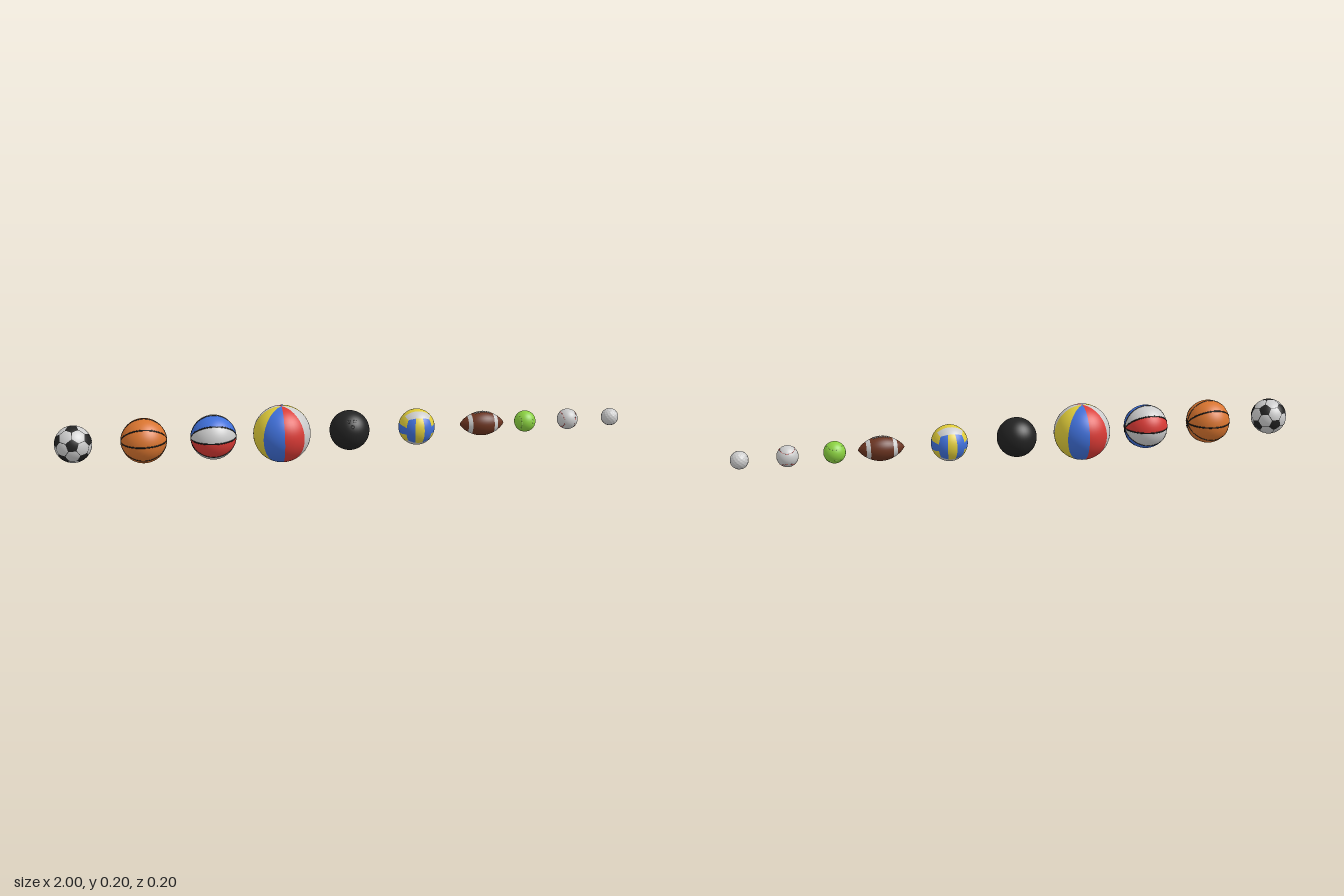
import * as THREE from 'three';
import { mergeGeometries, mergeVertices } from 'three/addons/utils/BufferGeometryUtils.js';

const WHITE = 0xcccccc, RED = 0xd93a35, BLUE = 0x3f6fd8, YELLOW = 0xe0cc3a;
const ORANGE = 0xd8742f, BROWN = 0x6b3420, BLACK = 0x222222, GREEN = 0x8ad040;
const V = (x, y, z) => new THREE.Vector3(x, y, z);

function mesh(name, geometry, color) {
  const m = new THREE.Mesh(geometry, new THREE.MeshStandardMaterial({ color }));
  m.name = name;
  return m;
}

function group(name, ...parts) {
  const g = new THREE.Group();
  g.name = name;
  if (parts.length) g.add(...parts);
  return g;
}

const sphere = (r) => new THREE.SphereGeometry(r, 40, 28);

// Curved panel: f(u, v) gives a direction, which is pushed onto the sphere
function patch(r, nu, nv, f) {
  const g = new THREE.PlaneGeometry(1, 1, nu, nv);
  const p = g.attributes.position, n = g.attributes.normal;
  for (let i = 0; i < p.count; i++) {
    const d = f(p.getX(i) + 0.5, p.getY(i) + 0.5).normalize();
    n.setXYZ(i, d.x, d.y, d.z);
    p.setXYZ(i, d.x * r, d.y * r, d.z * r);
  }
  return g;
}

// Polygon panel on a sphere, drawn in slightly to leave a seam
function polygonPanel(r, corners) {
  const c = corners.reduce((s, q) => s.add(q), V(0, 0, 0)).divideScalar(corners.length);
  const n = c.clone().normalize();
  const e1 = corners[0].clone().sub(c).normalize(), e2 = n.clone().cross(e1);
  const angle = (q) => Math.atan2(q.clone().sub(c).dot(e2), q.clone().sub(c).dot(e1));
  const ring = corners.slice().sort((a, b) => angle(a) - angle(b)).map((q) => q.clone().lerp(c, 0.05));
  return mergeGeometries(ring.map((a, i) => {
    const b = ring[(i + 1) % ring.length];
    return patch(r, 4, 4, (u, v) => a.clone().lerp(b, u).lerp(c, v));
  }));
}

// Pentagons sit at the icosahedron corners, hexagons on its faces
function soccerBall(r) {
  const ico = new THREE.IcosahedronGeometry(1, 0);
  ico.rotateX(-Math.PI / 4);
  const p = ico.attributes.position;
  const all = Array.from({ length: p.count }, (_, i) => V().fromBufferAttribute(p, i));
  const corners = all.filter((a, i) => all.findIndex((b) => b.distanceTo(a) < 0.01) === i);
  const third = (a, b) => a.clone().lerp(b, 1 / 3);
  const pentagons = corners.map((a) => polygonPanel(r,
    corners.filter((b) => b !== a && b.distanceTo(a) < 1.2).map((b) => third(a, b))));
  const hexagons = [];
  for (let i = 0; i < all.length; i += 3) {
    const [a, b, c] = all.slice(i, i + 3);
    hexagons.push(polygonPanel(r, [third(a, b), third(b, a), third(b, c), third(c, b), third(c, a), third(a, c)]));
  }
  return group('soccerBall', mesh('soccerSeams', sphere(r * 0.985), BLACK),
    mesh('pentagons', mergeGeometries(pentagons), BLACK), mesh('hexagons', mergeGeometries(hexagons), WHITE));
}

// Eight wedges between the poles, starting at the front
function wedges(r, colors) {
  return Array.from({ length: 8 }, (_, k) => mesh('wedge' + k,
    new THREE.SphereGeometry(r, 6, 32, Math.PI / 2 + k * Math.PI / 4, Math.PI / 4), colors[k % colors.length]));
}

// Basketball with seams meeting at the left and right ends
function basketball(name, r, colors) {
  const panels = group('panels', ...wedges(r, colors));
  panels.rotation.z = -Math.PI / 2;
  const seams = Array.from({ length: 4 }, (_, k) =>
    new THREE.TorusGeometry(r - 0.0015, 0.0028, 6, 64).rotateX(k * Math.PI / 4));
  return group(name, panels, mesh('seams', mergeGeometries(seams), BLACK));
}

// Three finger holes on the upper front
function bowlingBall(r) {
  const g = group('bowlingBall', mesh('bowlingShell', sphere(r), BLACK));
  for (const [x, y] of [[-0.13, 0.68], [0.16, 0.68], [0.02, 0.45]]) {
    const d = V(x, y, Math.sqrt(1 - x * x - y * y)).multiplyScalar(r * 1.006);
    const hole = group('fingerHole',
      mesh('holeFloor', new THREE.CircleGeometry(0.0055, 16), 0x0c0c0c),
      mesh('holeRim', new THREE.TorusGeometry(0.0055, 0.0007, 6, 20), 0x444444));
    hole.position.copy(d);
    hole.lookAt(d.clone().multiplyScalar(2));
    g.add(hole);
  }
  return g;
}

// Six faces of three strips, turned from face to face
function volleyball(r) {
  const g = group('volleyball');
  const faces = [
    [V(0, 0, 1), V(0, 1, 0), [BLUE, YELLOW, BLUE]],
    [V(0, 1, 0), V(1, 0, 0), [WHITE, YELLOW, WHITE]],
    [V(1, 0, 0), V(0, 0, 1), [YELLOW, BLUE, YELLOW]],
  ];
  const bend = (t) => Math.tan((t - 0.5) * Math.PI / 2);
  for (const [axis, along, colors] of faces) for (const side of [1, -1]) {
    const n = axis.clone().multiplyScalar(side), across = along.clone().cross(n);
    colors.forEach((color, i) => g.add(mesh('strip', patch(r, 4, 12, (u, v) =>
      n.clone().addScaledVector(across, bend((i + u) / 3)).addScaledVector(along, bend(v))), color)));
  }
  return g;
}

// Pointed ball turned about x, with two stripes and laces on top
function football(L, R) {
  const radius = (x) => R * Math.pow(Math.max(0, 1 - (x / L) ** 2), 0.8);
  const g = group('football');
  const cuts = [-L, -0.053, -0.039, 0.039, 0.053, L];
  for (let k = 0; k < 5; k++) {
    const profile = Array.from({ length: 13 }, (_, i) => {
      const x = cuts[k] + (cuts[k + 1] - cuts[k]) * i / 12;
      return new THREE.Vector2(radius(x), x);
    });
    g.add(mesh(k % 2 ? 'stripe' : 'leather', new THREE.LatheGeometry(profile, 36).rotateZ(-Math.PI / 2), k % 2 ? WHITE : BROWN));
  }
  const spine = new THREE.CatmullRomCurve3([-0.03, -0.015, 0, 0.015, 0.03].map((x) => V(x, radius(x), 0)));
  const laces = [new THREE.TubeGeometry(spine, 16, 0.0014, 6)];
  for (let i = 0; i < 8; i++) {
    const x = -0.0262 + i * 0.0075;
    laces.push(new THREE.BoxGeometry(0.0028, 0.002, 0.016).translate(x, radius(x) - 0.0001, 0));
  }
  return group('football', ...g.children.slice(), mesh('laces', mergeGeometries(laces), WHITE));
}

// Closed seam wandering over a sphere: two arcs side by side at the front
class SeamCurve extends THREE.Curve {
  constructor(r) { super(); this.r = r; }
  getPoint(s, target = V()) {
    const t = s * Math.PI * 2, a = 0.75, b = 0.25;
    return target.set(a * Math.cos(t) + b * Math.cos(3 * t), a * Math.sin(t) - b * Math.sin(3 * t),
      2 * Math.sqrt(a * b) * Math.sin(2 * t)).applyAxisAngle(V(0, 0, 1), -Math.PI / 4).multiplyScalar(this.r);
  }
}
const seam = (r, tube) => new THREE.TubeGeometry(new SeamCurve(r), 120, tube, 5, true);

function tennisBall(r) {
  return group('tennisBall', mesh('felt', sphere(r), GREEN), mesh('tennisSeam', seam(r - 0.0006, 0.001), 0xa5dc70));
}

function baseball(r) {
  const curve = new SeamCurve(r), stitches = [];
  for (let i = 0; i < 60; i++) {
    const p = curve.getPointAt(i / 60), n = p.clone().normalize(), t = curve.getTangentAt(i / 60);
    const frame = new THREE.Matrix4().makeBasis(n.clone().cross(t), t, n).setPosition(p);
    stitches.push(new THREE.BoxGeometry(0.0045, 0.0008, 0.0008).applyMatrix4(frame));
  }
  return group('baseball', mesh('baseballCover', sphere(r), WHITE),
    mesh('baseballSeam', seam(r - 0.0003, 0.0007), RED), mesh('stitches', mergeGeometries(stitches), RED));
}

// Shallow dimples spread evenly in a spiral
function golfBall(r) {
  let g = new THREE.IcosahedronGeometry(r, 20);
  g.deleteAttribute('uv');
  g.deleteAttribute('normal');
  g = mergeVertices(g, 1e-5);
  const count = 130, dimples = Array.from({ length: count }, (_, i) => {
    const y = 1 - (2 * i + 1) / count, s = Math.sqrt(1 - y * y), a = i * 2.39996;
    return V(s * Math.cos(a), y, s * Math.sin(a));
  });
  const p = g.attributes.position;
  for (let i = 0; i < p.count; i++) {
    const d = V().fromBufferAttribute(p, i).normalize();
    const near = Math.min(...dimples.map((q) => q.distanceTo(d))) / 0.145;
    d.multiplyScalar(r * (1 - 0.025 * Math.max(0, 1 - near * near)));
    p.setXYZ(i, d.x, d.y, d.z);
  }
  g.computeVertexNormals();
  return group('golfBall', mesh('dimpledShell', g, WHITE));
}

export function createModel() {
  const model = group('sportsBalls');
  const row = [
    [-0.936, soccerBall(0.064)],
    [-0.698, basketball('basketball', 0.078, [ORANGE])],
    [-0.46, basketball('tricolorBasketball', 0.078, [RED, WHITE, BLUE, WHITE])],
    [-0.222, group('beachBall', ...wedges(0.1, [RED, WHITE, YELLOW, BLUE]))],
    [0.016, bowlingBall(0.07)],
    [0.256, volleyball(0.064)],
    [0.493, football(0.08, 0.043)],
    [0.652, tennisBall(0.038)],
    [0.81, baseball(0.037)],
    [0.969, golfBall(0.031)],
  ];
  for (const [x, ball] of row) {
    ball.position.set(x, 0.1, 0);
    model.add(ball);
  }
  return model;
}
